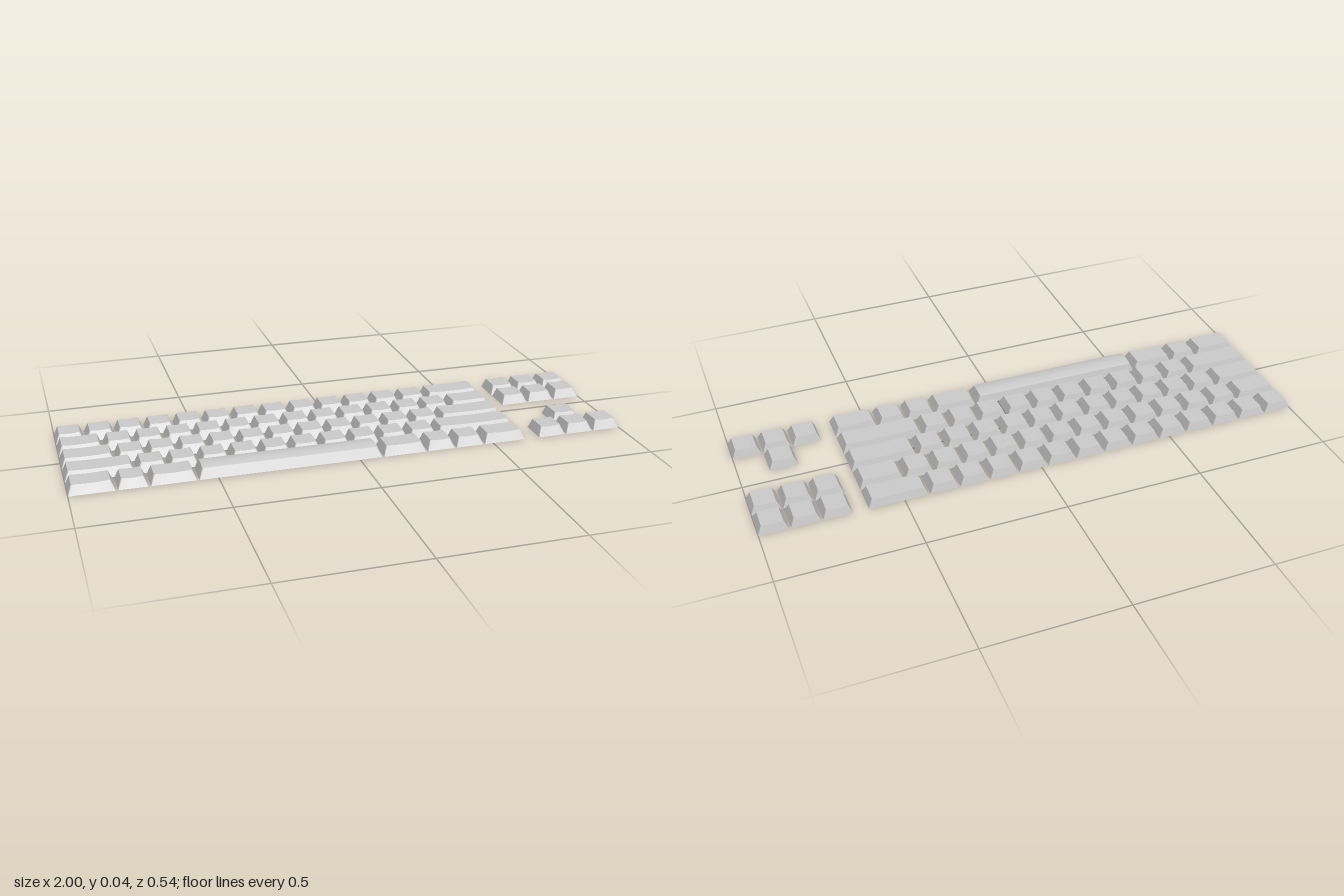
import * as THREE from 'three';

const PITCH = 0.1088, GAP = 0.0065, HEIGHT = 0.034;
const CORNER = 4, EDGE = 8; // segments per rounded corner and per straight edge

// Rounded rectangle in the ground plane, with extra points along each edge
function outline(x0, x1, z0, z1, r) {
  const corners = [[x1 - r, z1 - r], [x0 + r, z1 - r], [x0 + r, z0 + r], [x1 - r, z0 + r]];
  const points = [];
  corners.forEach(([cx, cz], k) => {
    for (let i = 0; i <= CORNER; i++) {
      const a = (k + i / CORNER) * Math.PI / 2;
      points.push(new THREE.Vector2(cx + r * Math.cos(a), cz + r * Math.sin(a)));
    }
    const from = points[points.length - 1];
    const [nx, nz] = corners[(k + 1) % 4];
    const a = (k + 1) * Math.PI / 2;
    const to = new THREE.Vector2(nx + r * Math.cos(a), nz + r * Math.sin(a));
    for (let i = 1; i < EDGE; i++) points.push(from.clone().lerp(to, i / EDGE));
  });
  return points;
}

// Hollow keycap: sloping skirt plus a top that is dished, or arched for the space bar
function keycapGeometry(width, arched) {
  const hw = width / 2, hd = (PITCH - GAP) / 2;
  const base = outline(-hw, hw, -hd, hd, 0.003);
  const tx = hw - 0.014, tz0 = -hd + 0.006, tz1 = hd - 0.018;
  const rim = outline(-tx, tx, tz0, tz1, 0.006);
  const cz = (tz0 + tz1) / 2, hz = (tz1 - tz0) / 2;
  const topY = (x, z) => arched
    ? HEIGHT + 0.005 * (1 - ((z - cz) / hz) ** 2)
    : HEIGHT - 0.003 * (1 - (x / tx) ** 2);

  const positions = [], index = [], n = base.length;
  const addRing = (points, height) =>
    points.forEach(p => positions.push(p.x, height(p.x, p.y), p.y));
  const joinRings = (lower, upper) => {
    for (let i = 0; i < n; i++) {
      const j = (i + 1) % n;
      const a = lower * n + i, b = lower * n + j, c = upper * n + i, d = upper * n + j;
      index.push(a, c, b, b, c, d);
    }
  };
  // skirt
  addRing(base, () => 0);
  addRing(rim, topY);
  joinRings(0, 1);
  // top, in rings shrinking to the centre; its own rim keeps the edge sharp
  const scales = [1, 0.8, 0.6, 0.4, 0.2, 0.01];
  scales.forEach((s, k) => {
    addRing(rim.map(p => new THREE.Vector2(p.x * s, cz + (p.y - cz) * s)), topY);
    if (k > 0) joinRings(k + 1, k + 2);
  });

  const geometry = new THREE.BufferGeometry();
  geometry.setAttribute('position', new THREE.Float32BufferAttribute(positions, 3));
  geometry.setIndex(index);
  geometry.computeVertexNormals();
  return geometry;
}

export function createModel() {
  const keyboard = new THREE.Group();
  keyboard.name = 'keycapSet';
  const material = new THREE.MeshStandardMaterial({ color: 0xcccccc, side: THREE.DoubleSide });
  const cache = {};

  // Lays keys of the given unit widths side by side, starting at x
  function addRow(name, row, x, widths) {
    const group = new THREE.Group();
    group.name = name;
    for (const units of widths) {
      const isSpace = units === 6;
      cache[units] ??= keycapGeometry(units * PITCH - GAP, isSpace);
      const key = new THREE.Mesh(cache[units], material);
      key.name = isSpace ? 'spaceBar' : units > 1 ? 'wideKey' : 'key';
      key.position.set(x + (units * PITCH - GAP) / 2, 0, (row - 2) * PITCH);
      group.add(key);
      x += units * PITCH;
    }
    keyboard.add(group);
  }
  const ones = count => Array(count).fill(1);

  // main block
  addRow('numberRow', 0, -1, [...ones(13), 2]);
  addRow('upperLetterRow', 1, -1, [1.5, ...ones(12), 1.5]);
  addRow('homeRow', 2, -1, [1.75, ...ones(11), 2.25]);
  addRow('lowerLetterRow', 3, -1, [2.25, ...ones(10), 2.75]);
  addRow('bottomRow', 4, -1, [1.5, 1, 1.5, 6, 1.5, 1, 1, 1.5]);

  // navigation and arrow clusters
  const navX = 1 - (3 * PITCH - GAP);
  addRow('navigationUpperRow', 0, navX, ones(3));
  addRow('navigationLowerRow', 1, navX, ones(3));
  addRow('upArrow', 3, navX + PITCH, ones(1));
  addRow('arrowRow', 4, navX, ones(3));

  return keyboard;
}
